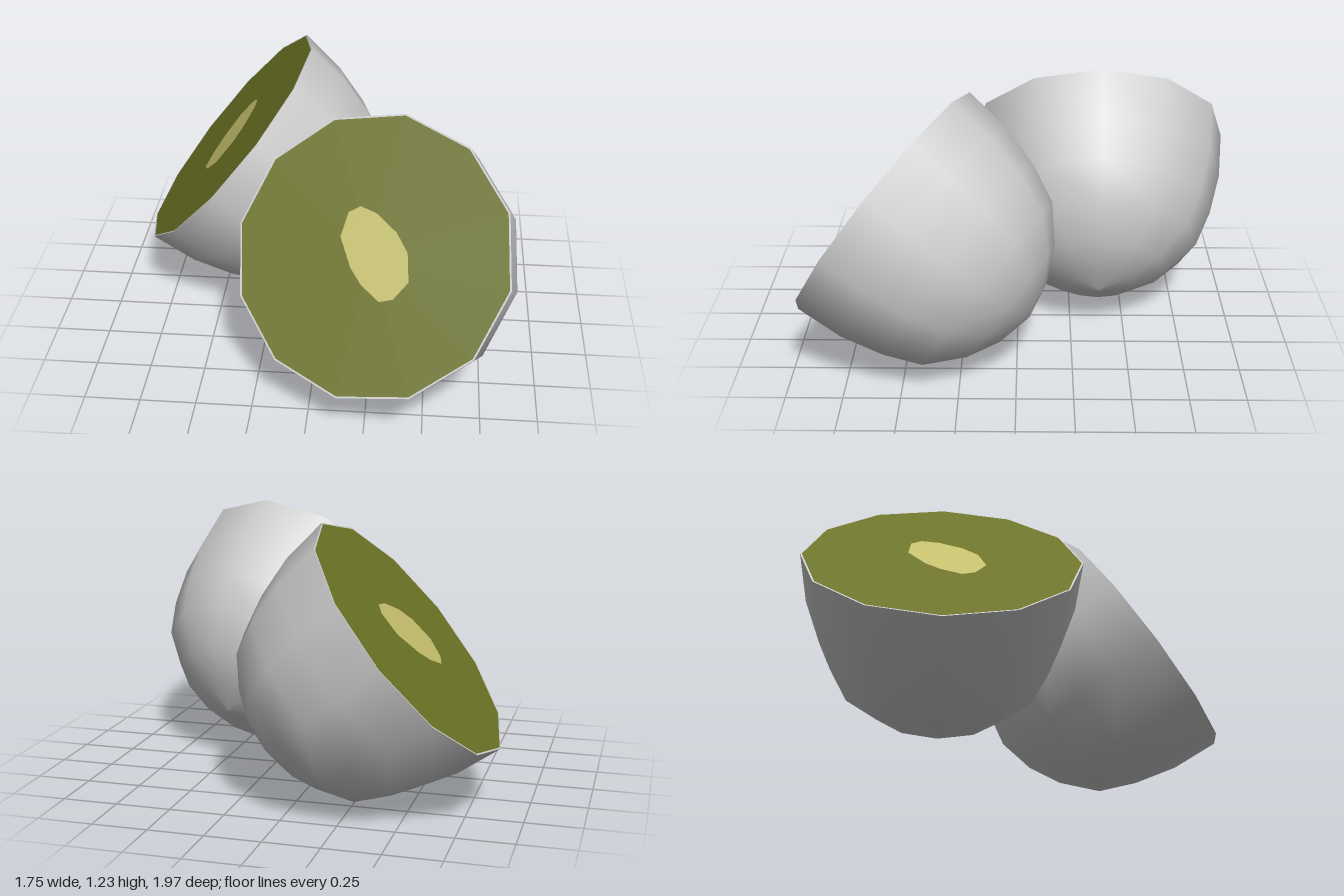
import * as THREE from 'three';

const skin = new THREE.MeshStandardMaterial({ name: 'greySkin', color: 0xcccccc });
const flesh = new THREE.MeshStandardMaterial({ name: 'oliveFlesh', color: 0x6b7224 });
const core = new THREE.MeshStandardMaterial({ name: 'paleCore', color: 0xc4be6c });

const R = 0.617;
// radius and height of the rings, from the pole up to the cut
const profile = [
  [0, -0.83], [0.17, -0.795], [0.315, -0.722], [0.465, -0.59],
  [0.54, -0.423], [0.595, -0.226], [R, 0],
].map(([r, y]) => new THREE.Vector2(r, y));

// irregular outline of the pale core, on the cut
const coreOutline = [
  [-0.152, 0.048], [-0.076, -0.07], [-0.011, -0.13], [0.083, -0.18], [0.14, -0.155],
  [0.188, -0.07], [0.154, 0.048], [0.087, 0.12], [-0.02, 0.18], [-0.096, 0.193], [-0.142, 0.157],
].map(([x, y]) => new THREE.Vector2(x, y));

function addMesh(group, name, geometry, material, z = 0) {
  const mesh = new THREE.Mesh(geometry, material);
  mesh.name = name;
  mesh.position.z = z;
  group.add(mesh);
}

// one half fruit: the cut lies in its local xy plane and faces +z
function makeHalf(name, centre, side, up) {
  const half = new THREE.Group();
  half.name = name;
  addMesh(half, 'skin', new THREE.LatheGeometry(profile, 12).rotateX(Math.PI / 2), skin);
  addMesh(half, 'skinRim', new THREE.RingGeometry(R - 0.008, R, 12), skin);
  addMesh(half, 'cutFlesh', new THREE.CircleGeometry(R - 0.008, 12), flesh);
  addMesh(half, 'core', new THREE.ShapeGeometry(new THREE.Shape(coreOutline)), core, 0.003);

  // square basis from the two directions in the cut
  const x = new THREE.Vector3(...side).normalize();
  const z = x.clone().cross(new THREE.Vector3(...up)).normalize();
  const y = z.clone().cross(x);
  half.quaternion.setFromRotationMatrix(new THREE.Matrix4().makeBasis(x, y, z));
  half.position.set(...centre);
  return half;
}

export function createModel() {
  const model = new THREE.Group();
  model.name = 'halvedFruit';
  model.add(
    makeHalf('frontHalf', [0.255, 0.73, 0.595], [0.585, -0.01, 0.205], [0.115, 0.51, -0.325]),
    makeHalf('backHalf', [-0.48, 0.765, -0.38], [0, 0, 1], [0.4, 0.475, 0]),
  );
  return model;
}
